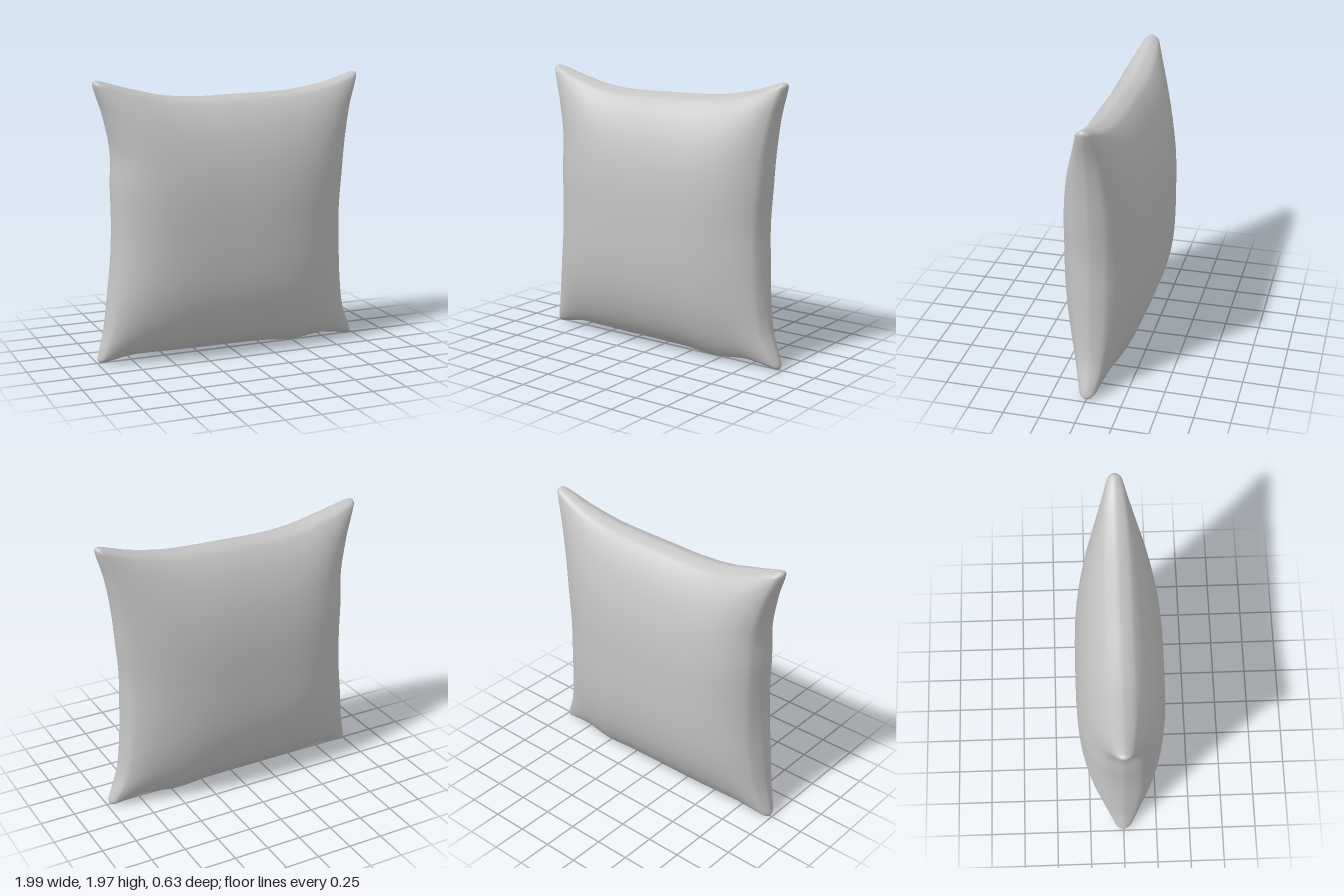
import * as THREE from 'three';
import { mergeVertices } from 'three/addons/utils/BufferGeometryUtils.js';

// Smooth function on [-1, 1] through evenly spaced values
function profile(values) {
  const curve = new THREE.SplineCurve(values.map((v, i) => new THREE.Vector2(i, v)));
  return (t) => curve.getPoint((t + 1) / 2).y;
}

// Pinched outline: each side bows in between the pointed corners
const topEdge = profile([1.985, 1.922, 1.865, 1.846, 1.85, 1.855, 1.87, 1.915, 1.985]);
const bottomEdge = profile([0, 0.04, 0.04, 0.037, 0.035, 0.03, 0.012, 0.036, 0]);
const leftEdge = profile([-1, -0.945, -0.91, -0.882, -0.872, -0.876, -0.875, -0.925, -1]);
const rightEdge = profile([0.99, 0.905, 0.87, 0.857, 0.852, 0.87, 0.893, 0.935, 1]);

const RIM = 0.04; // size of the rounded rim, also its half thickness
const SEGMENTS = 80;

// Puffiness across the width and the height
const puffX = (u) => Math.pow(Math.max(0, 1 - Math.pow(Math.abs(u), u < 0 ? 4 : 2.7)), 0.6);
const puffY = (v) => Math.pow(Math.max(0, 1 - Math.pow(Math.abs(v), v < 0 ? 3 : 2.5)), 0.7);

function cushionPoint(u, v, side) {
  // Round the rim, and the four corners, by mapping the border square to a disc
  let a = Math.max(0, (Math.abs(u) - 1 + RIM) / RIM);
  let b = Math.max(0, (Math.abs(v) - 1 + RIM) / RIM);
  [a, b] = [a * Math.sqrt(1 - b * b / 2), b * Math.sqrt(1 - a * a / 2)];
  const cap = Math.sqrt(Math.max(0, 1 - a * a - b * b));
  if (a > 0) u = Math.sign(u) * (1 - RIM + RIM * a);
  if (b > 0) v = Math.sign(v) * (1 - RIM + RIM * b);

  const x = THREE.MathUtils.lerp(leftEdge(v), rightEdge(v), (u + 1) / 2);
  const y = THREE.MathUtils.lerp(bottomEdge(u), topEdge(u), (v + 1) / 2);
  const z = side * cap * (RIM + 0.275 * puffX(u) * puffY(v));
  return [x, y, z];
}

function cushionGeometry() {
  const positions = [];
  const index = [];
  const row = SEGMENTS + 1;
  // Samples crowd towards the rim
  const spread = (i) => Math.sin((i / SEGMENTS - 0.5) * Math.PI);
  for (const side of [1, -1]) {
    const start = positions.length / 3;
    for (let j = 0; j < row; j++) {
      for (let i = 0; i < row; i++) positions.push(...cushionPoint(spread(i), spread(j), side));
    }
    for (let j = 0; j < SEGMENTS; j++) {
      for (let i = 0; i < SEGMENTS; i++) {
        const p = start + j * row + i;
        const q = p + 1, r = p + row, s = r + 1;
        if (side > 0) index.push(p, q, s, p, s, r);
        else index.push(p, s, q, p, r, s);
      }
    }
  }
  const geometry = new THREE.BufferGeometry();
  geometry.setAttribute('position', new THREE.Float32BufferAttribute(positions, 3));
  geometry.setIndex(index);
  // Weld the front and back along the rim
  const welded = mergeVertices(geometry, 1e-5);
  welded.computeVertexNormals();
  return welded;
}

export function createModel() {
  const fabric = new THREE.MeshStandardMaterial({ color: 0xc4c4c4 });
  fabric.name = 'grey fabric';

  const cushion = new THREE.Mesh(cushionGeometry(), fabric);
  cushion.name = 'cushion';

  const model = new THREE.Group();
  model.name = 'throwPillow';
  model.add(cushion);
  return model;
}
